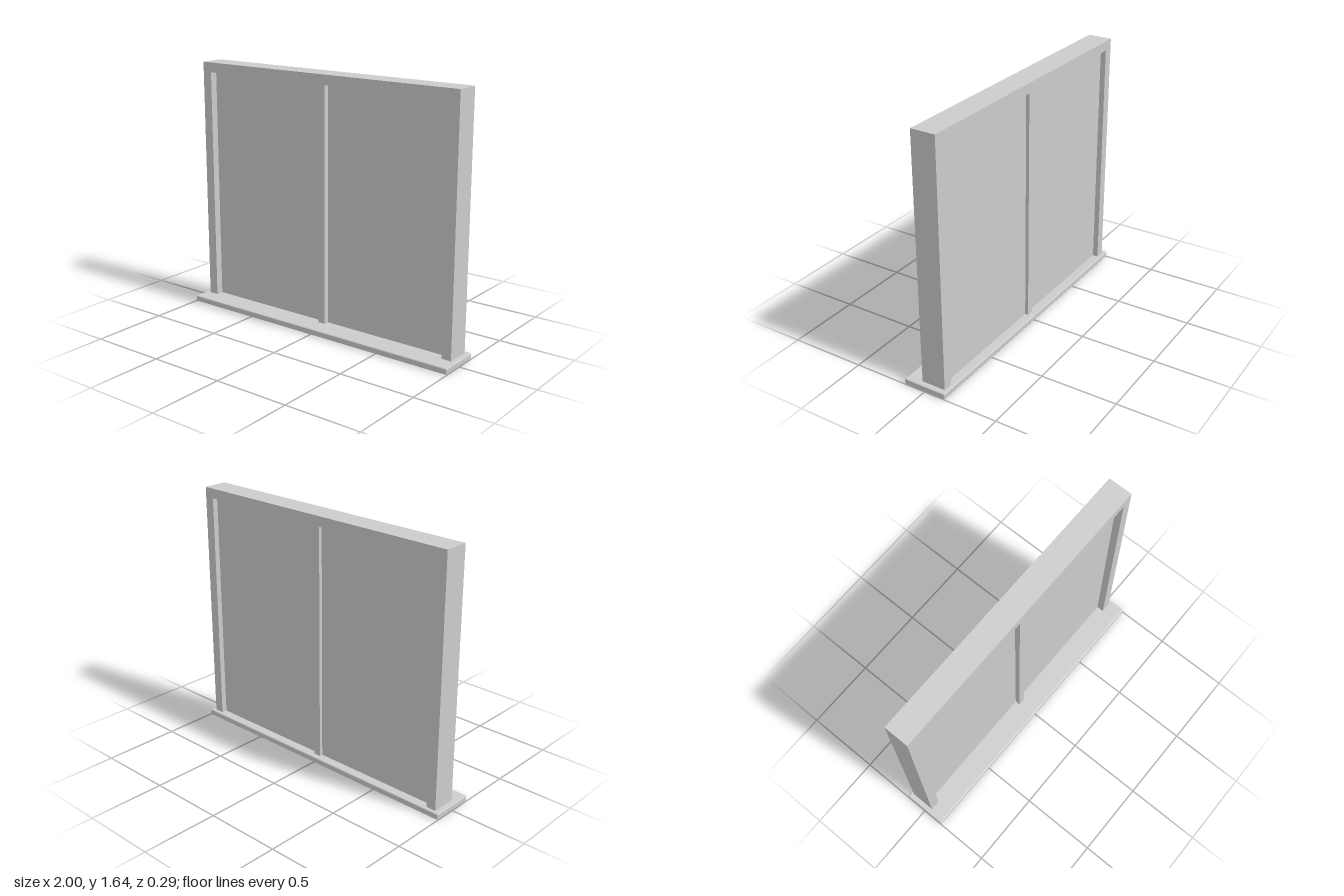
import * as THREE from 'three';
import { RoundedBoxGeometry } from 'three/addons/geometries/RoundedBoxGeometry.js';

export function createModel() {
  const group = new THREE.Group();
  group.name = 'window';
  const grey = new THREE.MeshStandardMaterial({ color: 0xcccccc });
  grey.name = 'light grey';

  const sillTop = 0.04, outerX = 0.965, innerX = 0.9, outerY = 1.643, innerY = 1.579;
  const backZ = -0.122, frontZ = 0.038;

  function add(name, geometry, x = 0, y = 0, z = 0) {
    const mesh = new THREE.Mesh(geometry, grey);
    mesh.name = name;
    mesh.position.set(x, y, z);
    group.add(mesh);
  }

  // Box given by its limits
  function addBox(name, x0, x1, y0, y1, z0, z1) {
    add(name, new THREE.BoxGeometry(x1 - x0, y1 - y0, z1 - z0),
      (x0 + x1) / 2, (y0 + y1) / 2, (z0 + z1) / 2);
  }

  // Sill with softened edges
  add('sill', new RoundedBoxGeometry(2, sillTop, 0.29, 2, 0.008), 0, sillTop / 2, 0);

  // Frame: two jambs and a head in one piece, open at the sill
  const outline = new THREE.Shape([
    [-outerX, sillTop], [-innerX, sillTop], [-innerX, innerY], [innerX, innerY],
    [innerX, sillTop], [outerX, sillTop], [outerX, outerY], [-outerX, outerY],
  ].map(([x, y]) => new THREE.Vector2(x, y)));
  add('frame', new THREE.ExtrudeGeometry(outline, { depth: frontZ - backZ, bevelEnabled: false }),
    0, 0, backZ);

  // Centre post, set slightly back from the frame faces
  const post = 0.024;
  addBox('centrePost', -post, post, sillTop, innerY, backZ + 0.014, frontZ - 0.014);

  // Panes on both sides of the post
  for (const side of [-1, 1]) {
    const a = side * post, b = side * innerX;
    addBox(side < 0 ? 'rightPane' : 'leftPane', Math.min(a, b), Math.max(a, b),
      sillTop, innerY, -0.086, -0.011);
  }

  return group;
}
